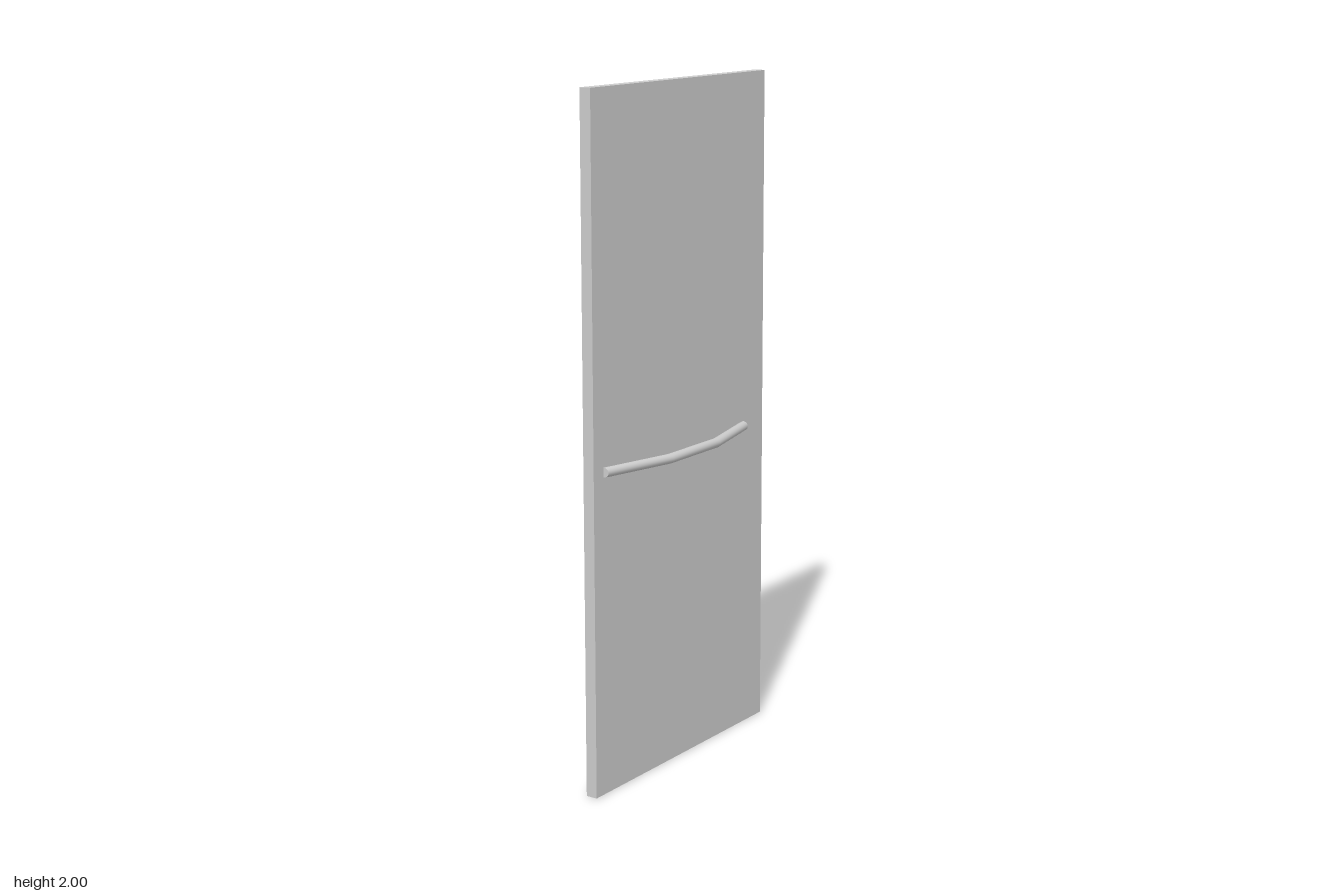
import * as THREE from 'three';

export function createModel() {
  const group = new THREE.Group();
  const material = new THREE.MeshStandardMaterial({ color: 0xcccccc });

  // Flat door slab
  const door = new THREE.Mesh(new THREE.BoxGeometry(0.035, 2, 0.87), material);
  door.name = 'doorPanel';
  door.position.set(-0.0375, 1, 0);
  group.add(door);

  // Bowed bar: a cylinder along z whose rings are slid to these [x, z] centres
  const centres = [[-0.018, -0.327], [0.038, -0.09], [0.038, 0.152], [-0.018, 0.389]];
  const bar = new THREE.CylinderGeometry(1, 1, 3, 24, 3, false, -Math.PI / 2);
  bar.rotateX(Math.PI / 2);
  const pos = bar.attributes.position;
  for (let i = 0; i < pos.count; i++) {
    const [x, z] = centres[Math.round(pos.getZ(i) + 1.5)];
    pos.setXYZ(i, x + pos.getX(i) * 0.015, pos.getY(i) * 0.014, z);
  }
  bar.computeVertexNormals();
  const handle = new THREE.Mesh(bar, material);
  handle.name = 'pullHandle';
  handle.position.y = 0.943;
  group.add(handle);

  return group;
}
